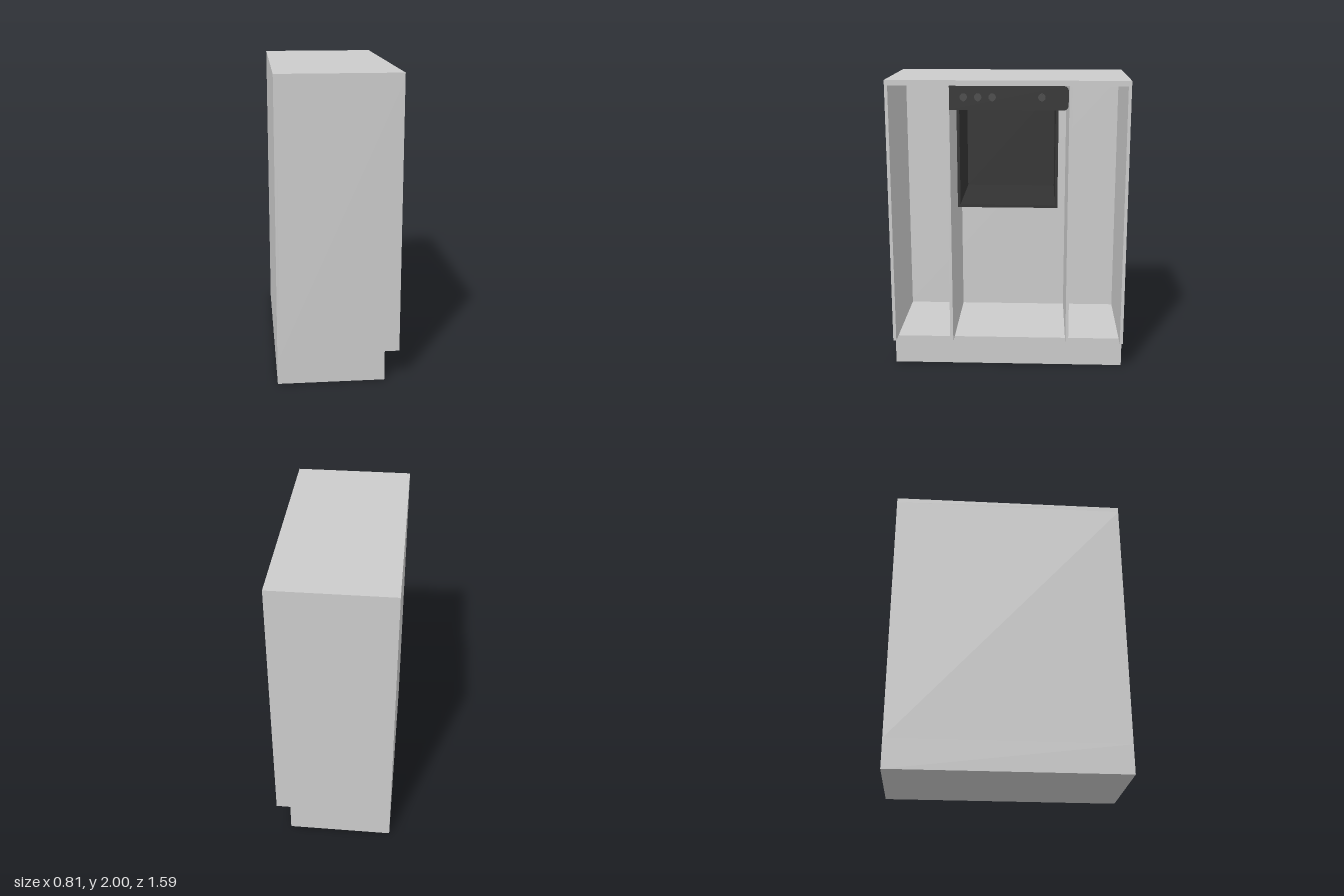
import * as THREE from 'three';

const grey = new THREE.MeshStandardMaterial({ color: 0xcccccc });
const black = new THREE.MeshStandardMaterial({ color: 0x333333 });
const knobGrey = new THREE.MeshStandardMaterial({ color: 0x4a4a4a });

// Box given by its minimum and maximum corners
function box(name, [x0, y0, z0], [x1, y1, z1], material = grey) {
  const mesh = new THREE.Mesh(new THREE.BoxGeometry(x1 - x0, y1 - y0, z1 - z0), material);
  mesh.name = name;
  mesh.position.set((x0 + x1) / 2, (y0 + y1) / 2, (z0 + z1) / 2);
  return mesh;
}

const BACK = -0.405, FRONT = 0.388, PLINTH = 0.292, HALF = 0.795;

// Carcass: plinth, back, top, sides and two dividers overhanging the toe kick
function createCabinet() {
  const cabinet = new THREE.Group();
  cabinet.name = 'cabinet';
  cabinet.add(
    box('plinth', [BACK, 0, -HALF], [PLINTH, 0.2, HALF]),
    box('backPanel', [BACK, 0.2, -HALF], [BACK + 0.02, 1.965, HALF]),
    box('topPanel', [BACK, 1.965, -HALF], [FRONT, 2, HALF])
  );
  const uprights = [
    ['leftEndPanel', -HALF, -0.774], ['leftDivider', -0.419, -0.399],
    ['rightDivider', 0.376, 0.397], ['rightEndPanel', 0.774, HALF]
  ];
  for (const [name, z0, z1] of uprights) {
    cabinet.add(box(name, [BACK + 0.02, 0.2, z0], [FRONT, 1.965, z1]));
  }
  return cabinet;
}

// Control fascia: square at one end, rounded at the other, facing +x
function createFascia() {
  const r = 0.03, a = -0.376, b = 0.394, y0 = 1.81, y1 = 1.963;
  const s = new THREE.Shape();
  s.moveTo(a, y0);
  s.lineTo(b - r, y0);
  s.absarc(b - r, y0 + r, r, -Math.PI / 2, 0);
  s.lineTo(b, y1 - r);
  s.absarc(b - r, y1 - r, r, 0, Math.PI / 2);
  s.lineTo(a, y1);
  s.closePath();
  const geometry = new THREE.ExtrudeGeometry(s, { depth: 0.02, bevelEnabled: false, curveSegments: 8 });
  geometry.rotateY(Math.PI / 2);
  const fascia = new THREE.Mesh(geometry, black);
  fascia.name = 'controlFascia';
  fascia.position.x = FRONT - 0.02;
  return fascia;
}

// Knob: round base with a raised grip bar
function createKnob(z) {
  const knob = new THREE.Group();
  knob.name = 'knob';
  const base = new THREE.Mesh(new THREE.CylinderGeometry(0.024, 0.025, 0.006, 32), knobGrey);
  base.name = 'knobBase';
  base.rotation.z = -Math.PI / 2;
  base.position.x = 0.003;
  knob.add(base, box('knobGrip', [0.004, -0.024, -0.005], [0.017, 0.024, 0.005], knobGrey));
  knob.position.set(FRONT, 1.892, z);
  return knob;
}

// Oven: open-fronted cavity under the fascia
function createOven() {
  const oven = new THREE.Group();
  oven.name = 'oven';
  const x0 = -0.24, x1 = 0.375, w = 0.331, t = 0.018, y0 = 1.16, y1 = 1.9;
  oven.add(
    box('ovenFloor', [x0, y0, -w], [x1, y0 + t, w], black),
    box('ovenCeiling', [x0, y1 - t, -w], [x1 - 0.007, y1, w], black),
    box('ovenBack', [x0, y0 + t, -w + t], [x0 + t, y1 - t, w - t], black),
    createFascia()
  );
  for (const side of [-1, 1]) {
    const z = [side * w, side * (w - t)].sort((p, q) => p - q);
    oven.add(box('ovenSide', [x0, y0 + t, z[0]], [x1 - 0.007, y1 - t, z[1]], black));
  }
  for (const z of [0.283, 0.19, 0.097, -0.222]) oven.add(createKnob(z));
  return oven;
}

export function createModel() {
  const model = new THREE.Group();
  model.name = 'ovenCabinet';
  model.add(createCabinet(), createOven());
  return model;
}
